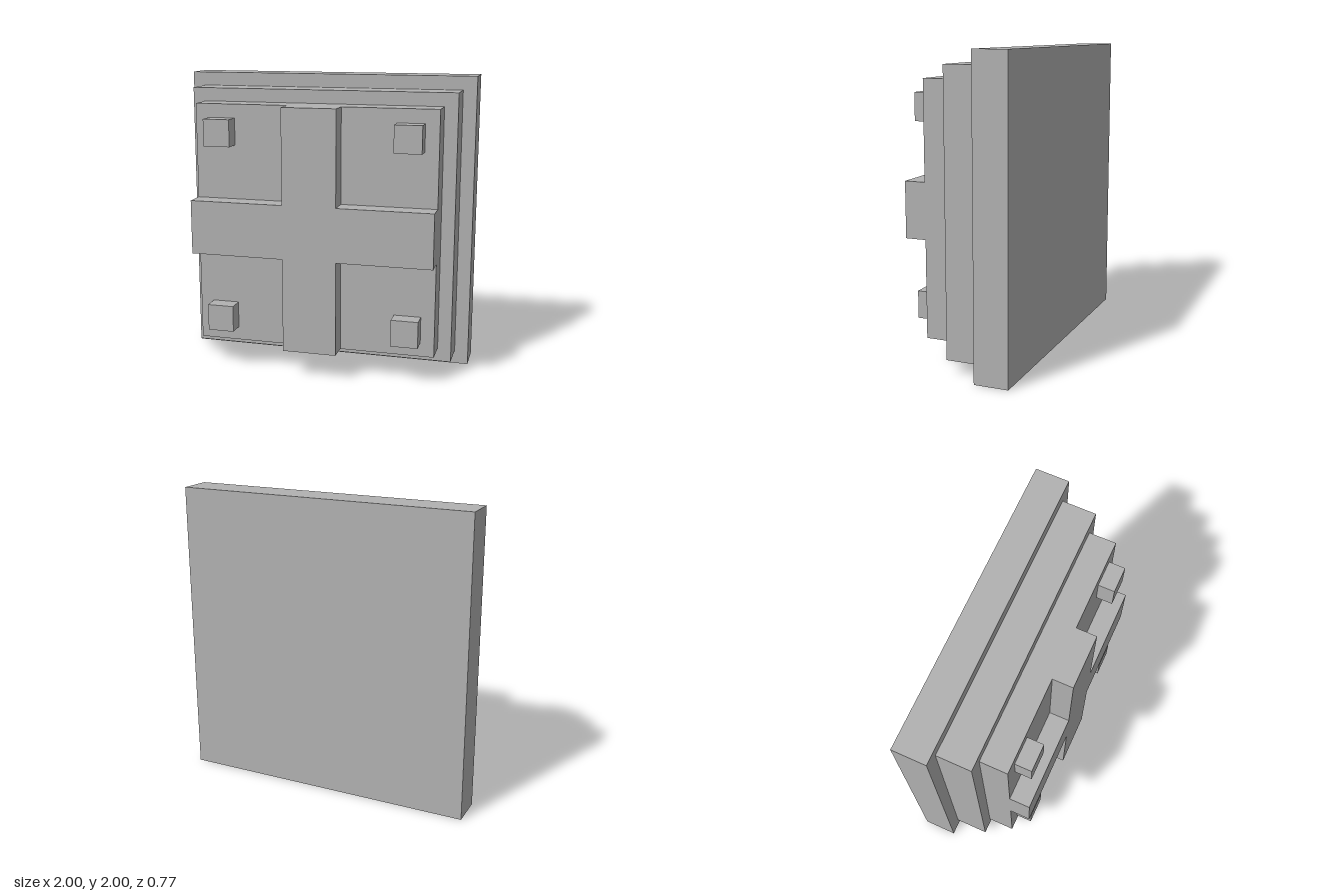
import * as THREE from 'three';

export function createModel() {
  const group = new THREE.Group();
  group.name = 'steppedPanel';
  const grey = new THREE.MeshStandardMaterial({ color: 0xb2b2b2 });
  grey.name = 'grey';

  const add = (name, geometry, x, y, z) => {
    const mesh = new THREE.Mesh(geometry, grey);
    mesh.name = name;
    mesh.position.set(x, y, z);
    group.add(mesh);
  };

  // Three square slabs stepping inward toward the front: [name, size, back z, front z]
  const slabs = [
    ['basePlate', 2, -0.385, -0.16],
    ['middlePlate', 1.816, -0.16, 0.067],
    ['frontPlate', 1.636, 0.067, 0.248],
  ];
  for (const [name, size, back, front] of slabs) {
    add(name, new THREE.BoxGeometry(size, size, front - back), 0, 1, (back + front) / 2);
  }

  // Raised cross reaching the edges of the front plate
  const a = 0.182, b = 0.818;
  const outline = [
    [a, a], [a, b], [-a, b], [-a, a], [-b, a], [-b, -a],
    [-a, -a], [-a, -b], [a, -b], [a, -a], [b, -a], [b, a],
  ].map(([x, y]) => new THREE.Vector2(x, y));
  const cross = new THREE.ExtrudeGeometry(new THREE.Shape(outline), { depth: 0.137, bevelEnabled: false });
  add('raisedCross', cross, 0, 1, 0.248);

  // One square stud in each corner panel
  for (const sx of [-1, 1]) {
    for (const sy of [-1, 1]) {
      add('cornerStud', new THREE.BoxGeometry(0.18, 0.18, 0.11), sx * 0.636, 1 + sy * 0.636, 0.303);
    }
  }
  return group;
}
